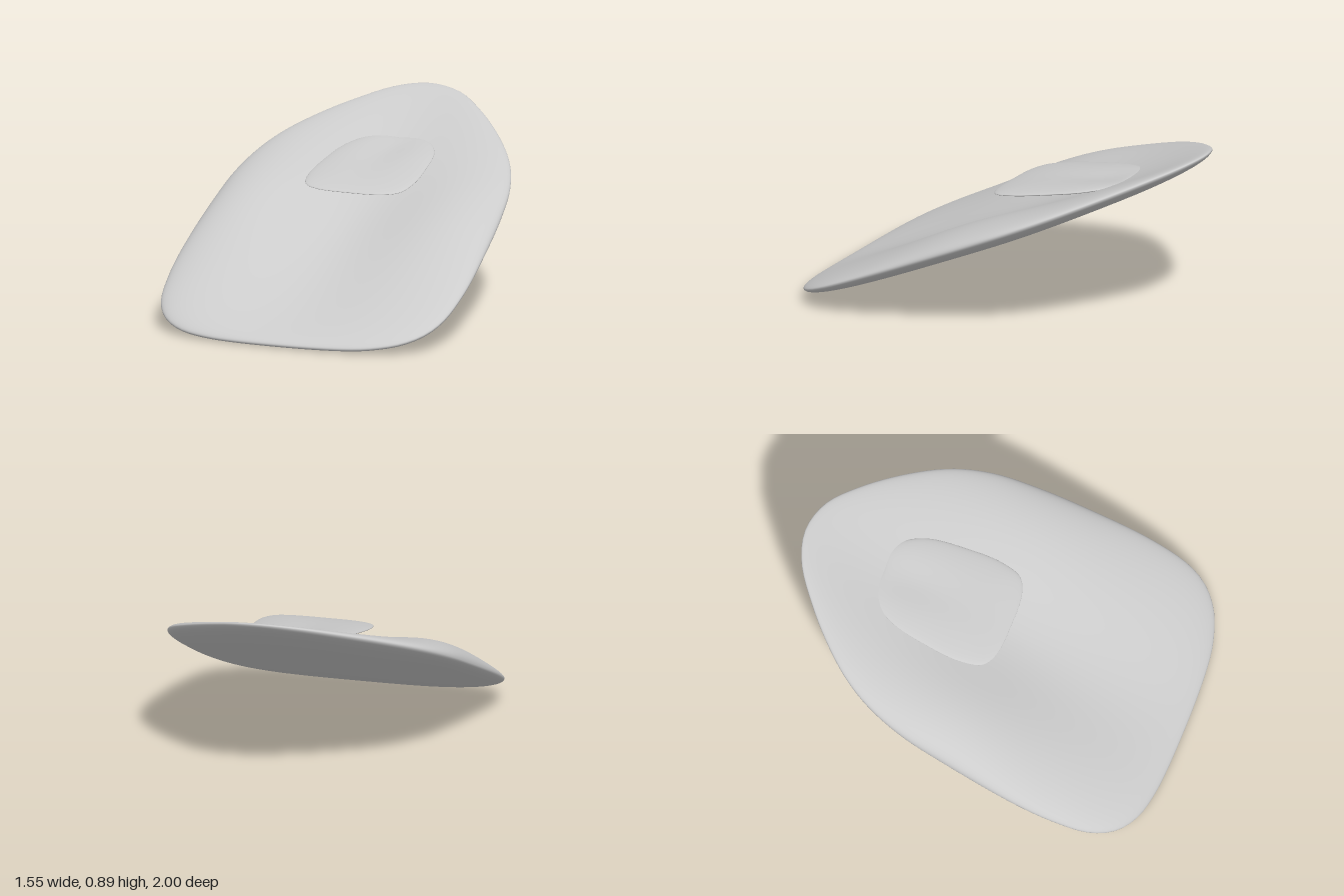
import * as THREE from 'three';

const material = new THREE.MeshStandardMaterial({ color: 0xcccccc });

// A closed lens-like cushion: the outline (x, z) is shrunk towards a centre,
// over the top (t < 90 degrees) and back underneath.
function cushion(name, outline, [cx, cz], height) {
  const N = 128, M = 64;
  const curve = new THREE.CatmullRomCurve3(
    outline.map(([x, z]) => new THREE.Vector3(x, 0, z)), true, 'centripetal');
  const rim = curve.getSpacedPoints(N);
  const positions = [], index = [];
  for (let i = 0; i < N; i++) {
    for (let j = 0; j <= M; j++) {
      const t = (Math.PI * j) / M;
      const s = j === M ? 0 : Math.sin(t);
      const x = cx + (rim[i].x - cx) * s;
      const z = cz + (rim[i].z - cz) * s;
      positions.push(x, height(x, z, s, j <= M / 2), z);
    }
  }
  // Poles are shared and the seam is welded so the shading stays smooth
  const id = (i, j) => (j % M ? i % N : 0) * (M + 1) + j;
  for (let i = 0; i < N; i++) {
    for (let j = 0; j < M; j++) {
      const a = id(i, j), b = id(i, j + 1), c = id(i + 1, j + 1), d = id(i + 1, j);
      if (j < M - 1) index.push(a, b, c);
      if (j > 0) index.push(a, c, d);
    }
  }
  const geometry = new THREE.BufferGeometry();
  geometry.setAttribute('position', new THREE.Float32BufferAttribute(positions, 3));
  geometry.setIndex(index);
  geometry.computeVertexNormals();
  const mesh = new THREE.Mesh(geometry, material);
  mesh.name = name;
  return mesh;
}

const dome = (s, power) => Math.sqrt(Math.max(0, 1 - s ** power));
const bell = (v, centre, width) => Math.exp(-(((v - centre) / width) ** 2));

export function createModel() {
  const group = new THREE.Group();
  group.name = 'paddedShell';

  // Large sloping body: raised side lips around a long hollow
  const bodyOutline = [
    [-0.03, -1], [-0.19, -0.955], [-0.36, -0.83], [-0.5, -0.695], [-0.615, -0.55],
    [-0.69, -0.4], [-0.74, -0.21], [-0.76, 0], [-0.775, 0.4], [-0.76, 0.61],
    [-0.725, 0.77], [-0.655, 0.88], [-0.55, 0.95], [-0.39, 0.988], [0, 1],
    [0.35, 0.983], [0.48, 0.958], [0.61, 0.905], [0.7, 0.825], [0.752, 0.715],
    [0.775, 0.5], [0.76, 0.18], [0.733, -0.08], [0.692, -0.29], [0.613, -0.476],
    [0.48, -0.66], [0.3, -0.845], [0.138, -0.963],
  ];
  group.add(cushion('body', bodyOutline, [-0.01, 0.1], (x, z, s, top) => {
    const y = 0.45 - 0.437 * z;
    if (!top) return y - 0.11 * dome(s, 2);
    const lip = (0.067 + 0.057 * bell(z, 0.05, 0.4)) * (1 - 0.25 * x);
    const hollow = bell(x, 0, 0.4) * (1 - s ** 4);
    return y + lip * (dome(s, 3.5) - hollow);
  }));

  // Small thin flap, its notched far end resting in the hollow
  const flapOutline = [
    [-0.02, -0.588], [-0.11, -0.6], [-0.185, -0.565], [-0.255, -0.45], [-0.288, -0.26],
    [-0.294, -0.08], [-0.262, 0.03], [-0.19, 0.072], [-0.015, 0.084], [0.16, 0.072],
    [0.235, 0.03], [0.264, -0.08], [0.256, -0.26], [0.222, -0.45], [0.15, -0.565],
    [0.08, -0.6],
  ];
  group.add(cushion('flap', flapOutline, [-0.015, -0.26], (x, z, s, top) => {
    const y = 0.595 - 0.19 * z;
    if (!top) return y - 0.02 * dome(s, 2.5);
    const hollow = 0.016 * bell(x, -0.015, 0.12) * bell(z, -0.5, 0.3) * (1 - s ** 4);
    return y + 0.022 * dome(s, 2.5) - hollow;
  }));

  return group;
}
